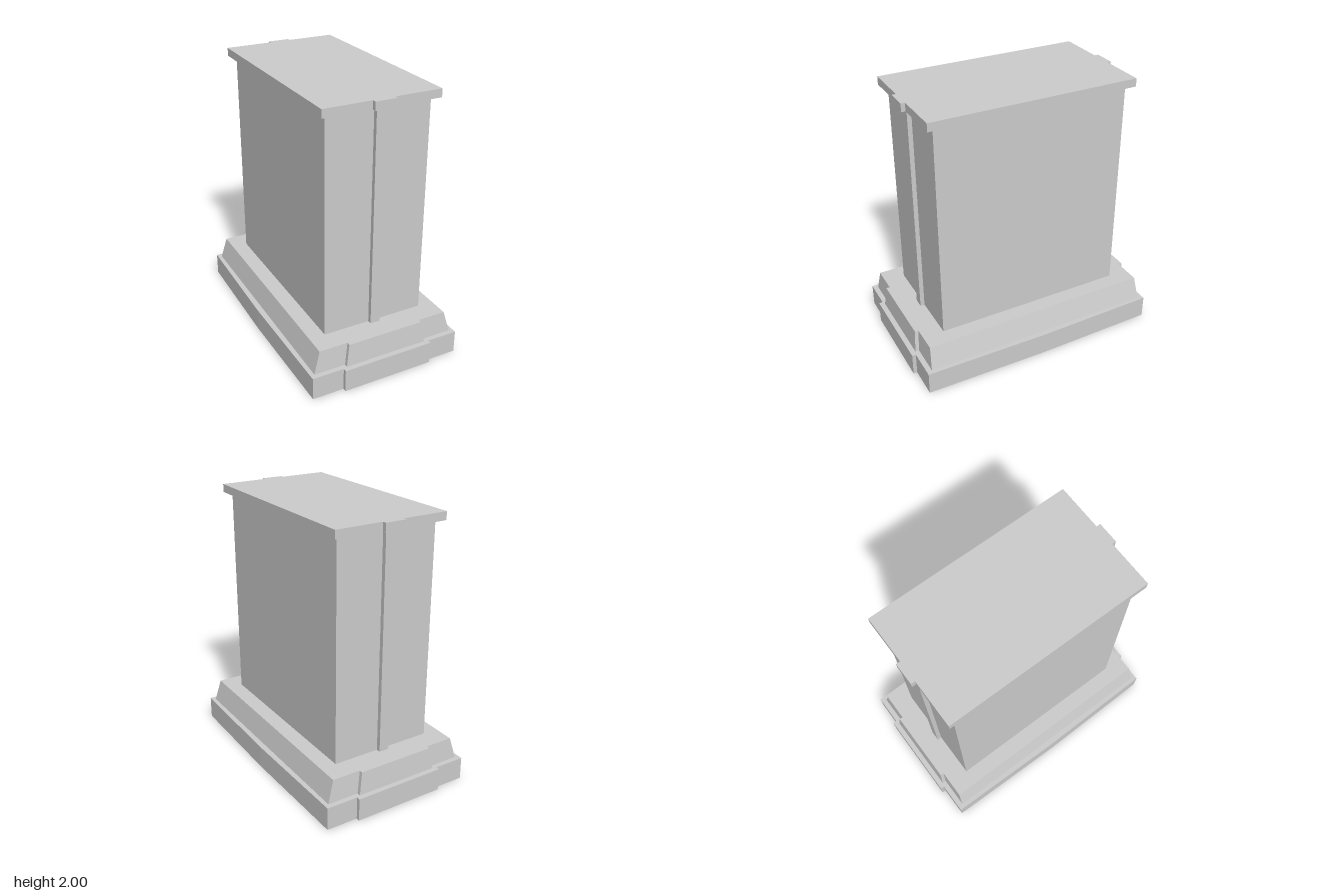
import * as THREE from 'three';

// Rectangular plan with a shallow projecting tab on each end; the sides may bow slightly.
// Points run counter-clockwise seen from above, as Vector2(x, -z).
function plan({ w, d, tabW, tabD, bow = 0 }) {
  const half = [
    [w + bow, 0], [w, -d], [tabW, -d], [tabW, -tabD],
    [-tabW, -tabD], [-tabW, -d], [-w, -d],
  ];
  const turned = half.map(([x, z]) => [-x, -z]); // other end, rotated half a turn
  return [...half, ...turned].map(([x, z]) => new THREE.Vector2(x, -z));
}

// Solid lofted between a lower and an upper plan.
function tier(name, y0, y1, lower, upper = lower) {
  const a = plan(lower);
  const b = plan(upper);
  const pos = [];
  const put = (p, y) => pos.push(p.x, y, -p.y);
  a.forEach((_, i) => {
    const j = (i + 1) % a.length;
    put(a[i], y0); put(a[j], y0); put(b[j], y1);
    put(a[i], y0); put(b[j], y1); put(b[i], y1);
  });
  for (const [i, j, k] of THREE.ShapeUtils.triangulateShape(b, [])) {
    put(b[i], y1); put(b[j], y1); put(b[k], y1);
  }
  for (const [i, j, k] of THREE.ShapeUtils.triangulateShape(a, [])) {
    put(a[i], y0); put(a[k], y0); put(a[j], y0);
  }
  const geometry = new THREE.BufferGeometry();
  geometry.setAttribute('position', new THREE.Float32BufferAttribute(pos, 3));
  geometry.computeVertexNormals();
  const mesh = new THREE.Mesh(
    geometry,
    new THREE.MeshStandardMaterial({ color: 0xcccccc, flatShading: true }),
  );
  mesh.name = name;
  return mesh;
}

export function createModel() {
  const group = new THREE.Group();
  group.name = 'pedestal';
  group.add(
    // Bottom slab with gently bowed long sides
    tier('baseSlab', 0, 0.17, { w: 0.58, d: 0.925, tabW: 0.345, tabD: 0.953, bow: 0.014 }),
    // Sloping plinth
    tier('plinth', 0.17, 0.335,
      { w: 0.55, d: 0.887, tabW: 0.315, tabD: 0.915 },
      { w: 0.503, d: 0.873, tabW: 0.29, tabD: 0.9 }),
    // Tall shaft with a narrow rib on each end
    tier('shaft', 0.335, 1.94, { w: 0.385, d: 0.718, tabW: 0.037, tabD: 0.75 }),
    // Overhanging cap
    tier('cap', 1.94, 2, { w: 0.432, d: 0.772, tabW: 0.08, tabD: 0.802 }),
  );
  return group;
}
